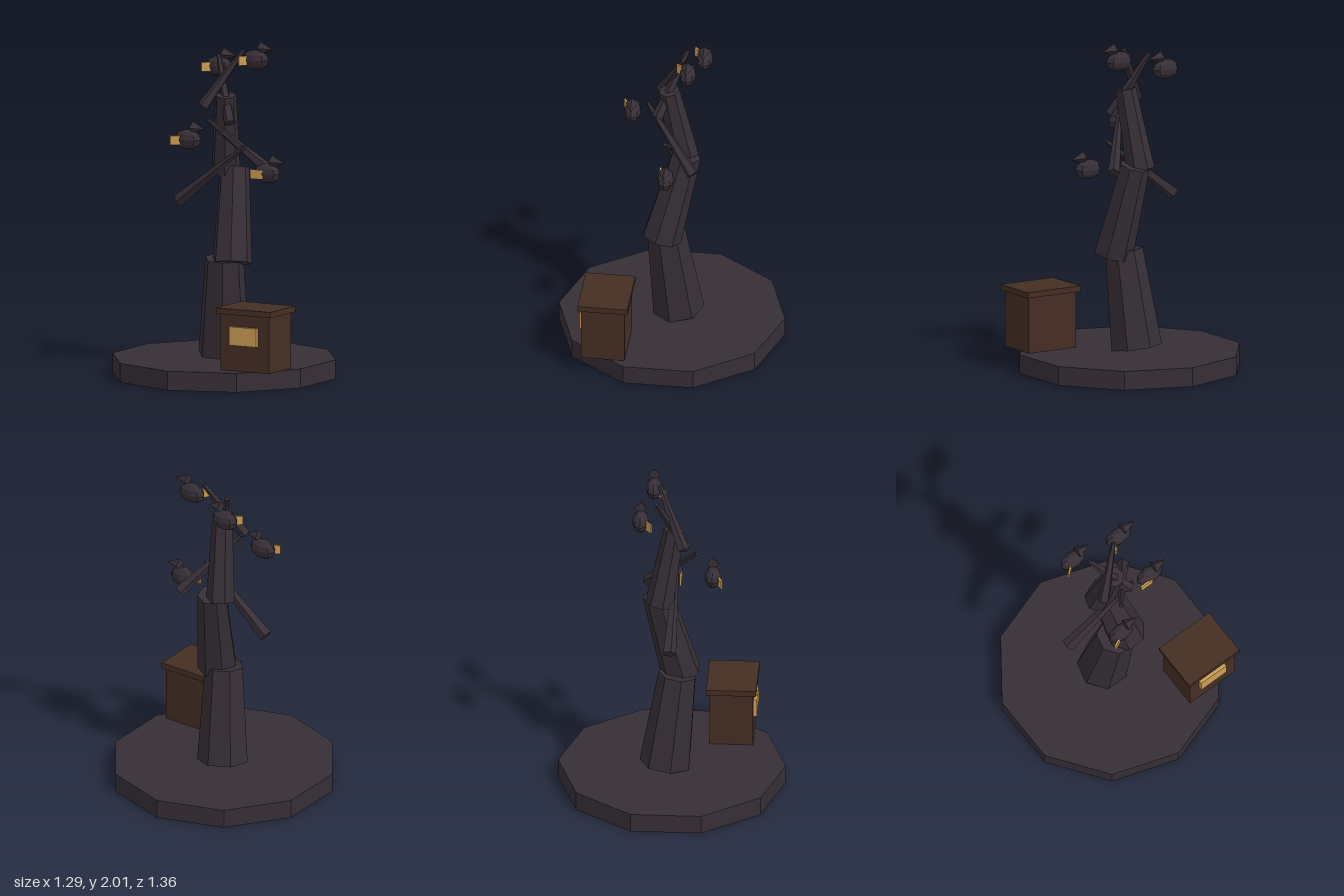
import * as THREE from 'three';

const mat = (name, color) => {
  const m = new THREE.MeshStandardMaterial({ color });
  m.name = name;
  m.flatShading = true;
  return m;
};

export function createModel() {
  const model = new THREE.Group();
  model.name = 'deadTreeWithBirds';
  const bark = mat('dark bark', 0x372e36);
  const wood = mat('brown wood', 0x452e24);
  const gold = mat('warm gold', 0xcd9f54);

  const add = (name, geometry, material, position, parent = model) => {
    const mesh = new THREE.Mesh(geometry, material);
    mesh.name = name;
    mesh.position.set(...position);
    parent.add(mesh);
    return mesh;
  };

  // Tapered prism running between two points
  const limb = (name, from, to, r0, r1, sides, turn = 0) => {
    const a = new THREE.Vector3(...from), b = new THREE.Vector3(...to);
    const axis = b.clone().sub(a);
    const geometry = new THREE.CylinderGeometry(r1, r0, axis.length(), sides, 1, false, turn);
    const mesh = add(name, geometry, bark, a.add(b).multiplyScalar(0.5).toArray());
    mesh.quaternion.setFromUnitVectors(new THREE.Vector3(0, 1, 0), axis.normalize());
  };

  // Ten-sided ground slab
  add('base', new THREE.CylinderGeometry(0.68, 0.68, 0.115, 10), bark, [0, 0.0575, 0]);

  // Crooked trunk in three sections
  const t = Math.PI / 7;
  limb('lowerTrunk', [-0.022, 0.13, -0.036], [0.021, 0.715, 0.035], 0.157, 0.117, 7, t);
  limb('middleTrunk', [0.085, 0.69, 0.051], [0.021, 1.245, -0.088], 0.121, 0.09, 7, t);
  limb('upperTrunk', [-0.028, 1.215, -0.07], [0.02, 1.695, 0.014], 0.088, 0.064, 7, t);

  // Branches, thick at the first point
  [
    [[-0.31, 1.03, 0], [0.155, 1.395, 0.02], 0.042, 0.013],
    [[0.215, 1.235, -0.155], [-0.03, 1.565, 0.15], 0.038, 0.012],
    [[-0.1, 1.625, 0.075], [0.09, 1.96, -0.08], 0.037, 0.014],
    [[0.085, 1.54, 0.075], [-0.085, 1.92, -0.085], 0.037, 0.014],
  ].forEach(([from, to, r0, r1]) => limb('branch', from, to, r0, r1, 5));

  // Perched birds: faceted body, pointed crest, turned gold plate
  [
    [-0.138, 1.835, -0.18, 0.7],
    [0.152, 1.902, -0.115, 0.95],
    [-0.105, 1.45, 0.25, 0.45],
    [0.297, 1.242, 0, 0],
  ].forEach(([x, y, z, turn]) => {
    const bird = new THREE.Group();
    bird.name = 'bird';
    bird.position.set(x, y, z);
    model.add(bird);
    const body = add('body', new THREE.SphereGeometry(1, 8, 6), bark, [0, 0, 0], bird);
    body.scale.set(0.09, 0.06, 0.05);
    const crest = add('crest', new THREE.ConeGeometry(0.038, 0.09, 4), bark, [0.075, 0.07, 0], bird);
    crest.rotation.z = -Math.PI / 2 - 0.08;
    const plate = add('beakPlate', new THREE.BoxGeometry(0.085, 0.056, 0.012), gold, [-0.05, -0.005, 0.04], bird);
    plate.rotation.y = turn;
  });

  // Small hut with flat roof and lit window
  add('hutWalls', new THREE.BoxGeometry(0.335, 0.345, 0.26), wood, [0.413, 0.2875, 0.34]);
  add('hutRoof', new THREE.BoxGeometry(0.375, 0.035, 0.3), wood, [0.413, 0.4725, 0.34]);
  for (const side of [-1, 1]) {
    add('windowPane', new THREE.BoxGeometry(0.094, 0.112, 0.02), gold, [0.408 + side * 0.047, 0.327, 0.48]);
  }

  return model;
}
